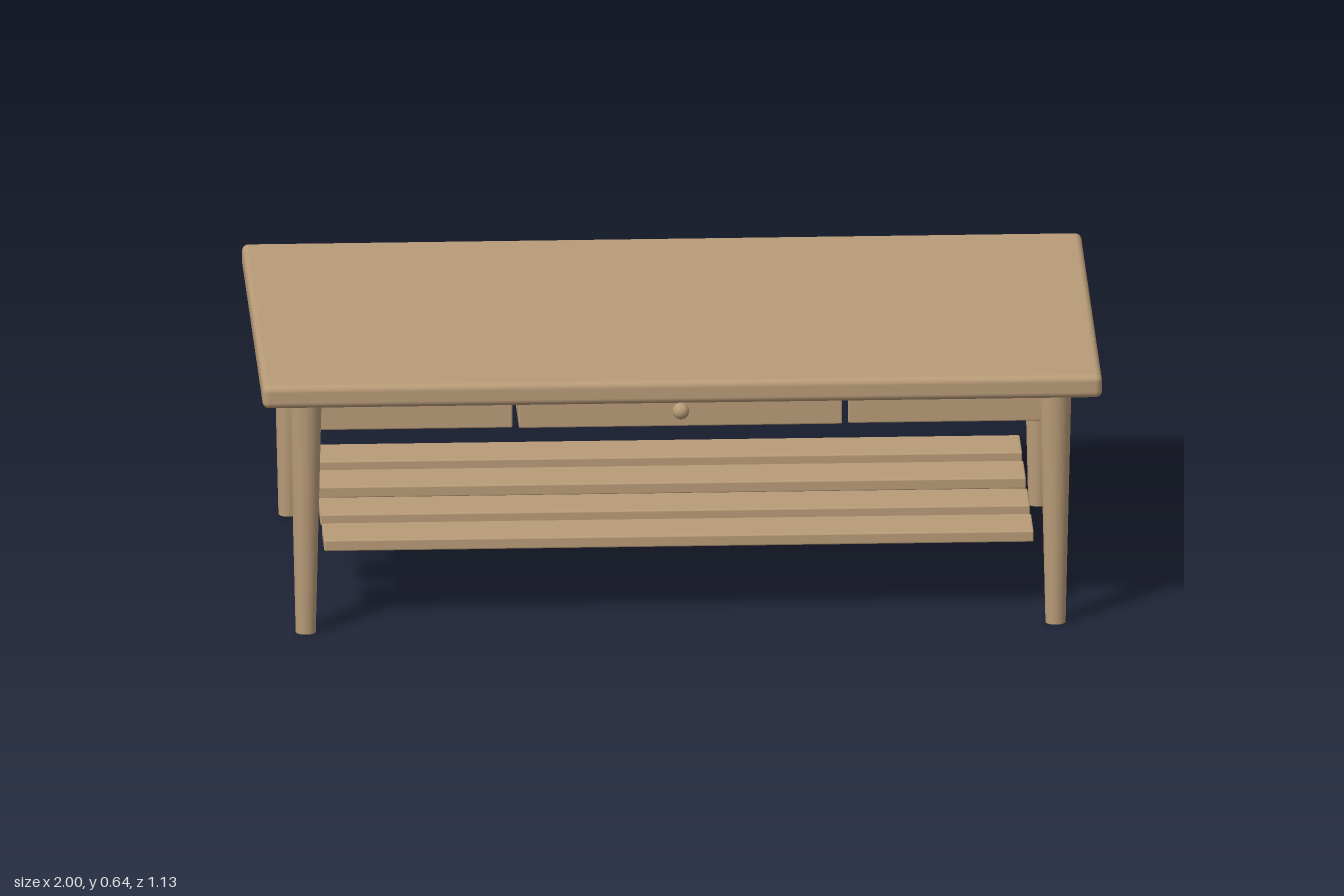
import * as THREE from 'three';
import { RoundedBoxGeometry } from 'three/addons/geometries/RoundedBoxGeometry.js';

const wood = new THREE.MeshStandardMaterial({ color: 0xb89b78 });

export function createModel() {
  const table = new THREE.Group();
  table.name = 'coffeeTable';

  const add = (name, geometry, x, y, z, parent = table) => {
    const mesh = new THREE.Mesh(geometry, wood);
    mesh.name = name;
    mesh.position.set(x, y, z);
    parent.add(mesh);
    return mesh;
  };
  // Board with softened edges, given by its size and centre
  const board = (name, w, h, d, x, y, z, r = 0.004, parent = table) =>
    add(name, new RoundedBoxGeometry(w, h, d, 3, r), x, y, z, parent);

  // Table top
  board('tableTop', 2, 0.057, 1.134, 0, 0.6165, 0, 0.016);

  // Tapered round legs
  const legGeometry = new THREE.CylinderGeometry(0.038, 0.024, 0.59, 32);
  for (const [sx, side] of [[1, 'Left'], [-1, 'Right']])
    for (const [sz, end] of [[1, 'front'], [-1, 'back']])
      add(`${end}${side}Leg`, legGeometry, sx * 0.893, 0.295, sz * 0.463);

  // Aprons: the front one is split to make room for the drawer
  const apronY = 0.543, apronH = 0.092;
  board('backApron', 1.72, apronH, 0.03, 0, apronY, -0.433);
  for (const [s, side] of [[1, 'Left'], [-1, 'Right']]) {
    board(`front${side}Apron`, 0.46, apronH, 0.03, s * 0.63, apronY, 0.433);
    board(`side${side}Apron`, 0.03, apronH, 0.84, s * 0.87, apronY, 0);
  }

  // Drawer: front, box and round knob
  const drawer = new THREE.Group();
  drawer.name = 'drawer';
  table.add(drawer);
  board('drawerFront', 0.77, 0.086, 0.03, 0, 0.543, 0.447, 0.004, drawer);
  for (const s of [1, -1])
    board('drawerSide', 0.016, 0.082, 0.8, s * 0.377, 0.543, 0.032, 0.002, drawer);
  board('drawerBack', 0.74, 0.082, 0.016, 0, 0.543, -0.36, 0.002, drawer);
  board('drawerBottom', 0.74, 0.01, 0.79, 0, 0.523, 0.032, 0.002, drawer);
  add('knob', new THREE.SphereGeometry(0.02, 24, 16), 0, 0.543, 0.477, drawer);

  // Lower shelf of four slats
  for (const z of [-0.309, -0.108, 0.108, 0.309])
    board('shelfSlat', 1.69, 0.028, 0.137, 0, 0.186, z);

  return table;
}
